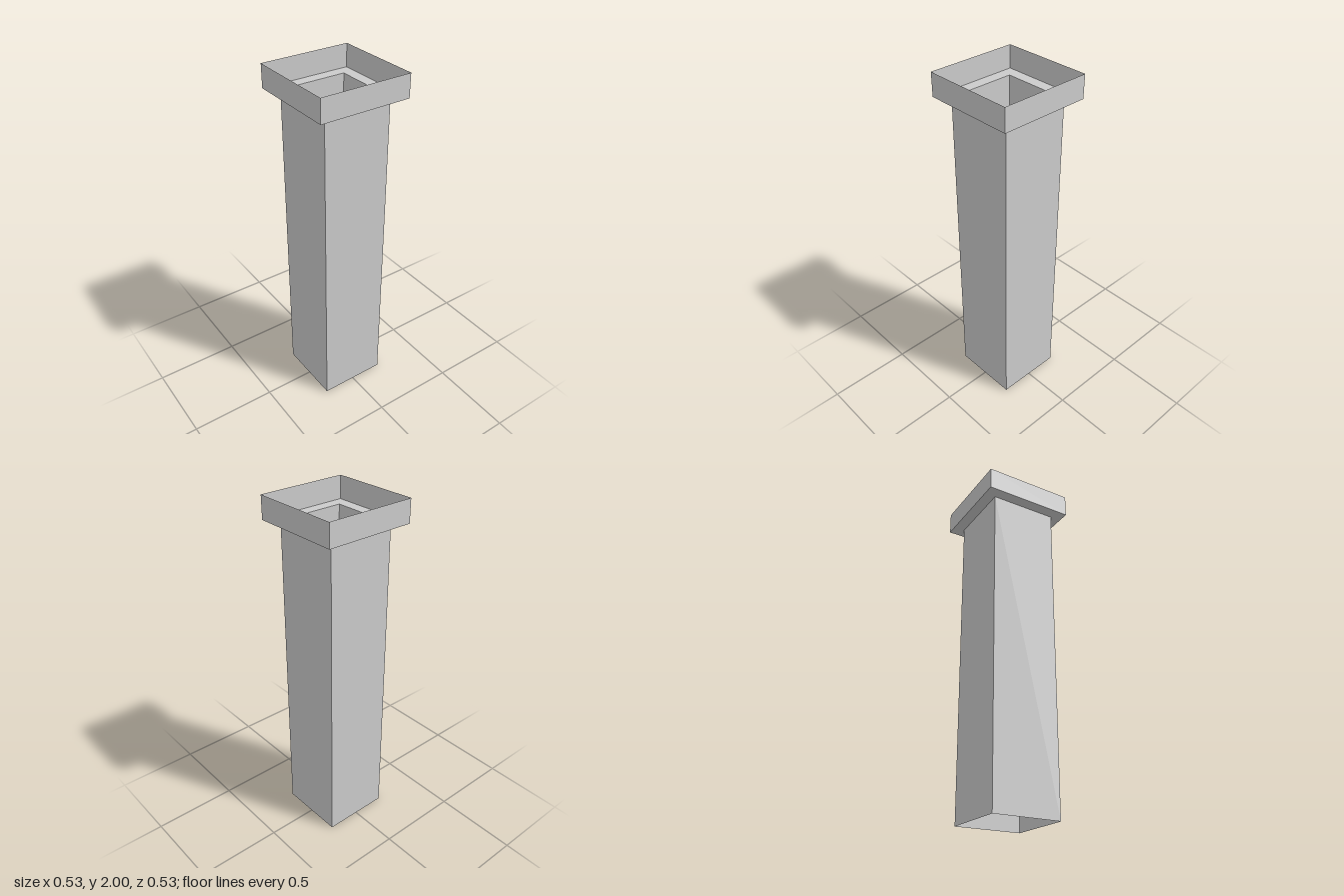
import * as THREE from 'three';

const SHAFT = 0.2;    // half width of the shaft
const RIM = 0.267;    // half width of the raised rim
const LEDGE_Y = 1.867;
const TOP_Y = 2;

// Thin square sheet swept between two [halfWidth, height] points
function squareSheet(name, from, to, material) {
  const points = [from, to].map(([half, y]) => new THREE.Vector2(half * Math.SQRT2, y));
  const geometry = new THREE.LatheGeometry(points, 4, Math.PI / 4).toNonIndexed();
  geometry.computeVertexNormals();
  const mesh = new THREE.Mesh(geometry, material);
  mesh.name = name;
  return mesh;
}

export function createModel() {
  const material = new THREE.MeshStandardMaterial({
    color: 0xcccccc, flatShading: true, side: THREE.DoubleSide,
  });
  const column = new THREE.Group();
  column.name = 'hollowColumn';
  column.add(
    // Hollow shaft, open at both ends
    squareSheet('shaft', [SHAFT, 0], [SHAFT, LEDGE_Y], material),
    // Flat ledge around the mouth of the shaft
    squareSheet('ledge', [SHAFT, LEDGE_Y], [RIM, LEDGE_Y], material),
    // Upright rim, open at the top
    squareSheet('rim', [RIM, LEDGE_Y], [RIM, TOP_Y], material),
  );
  return column;
}
